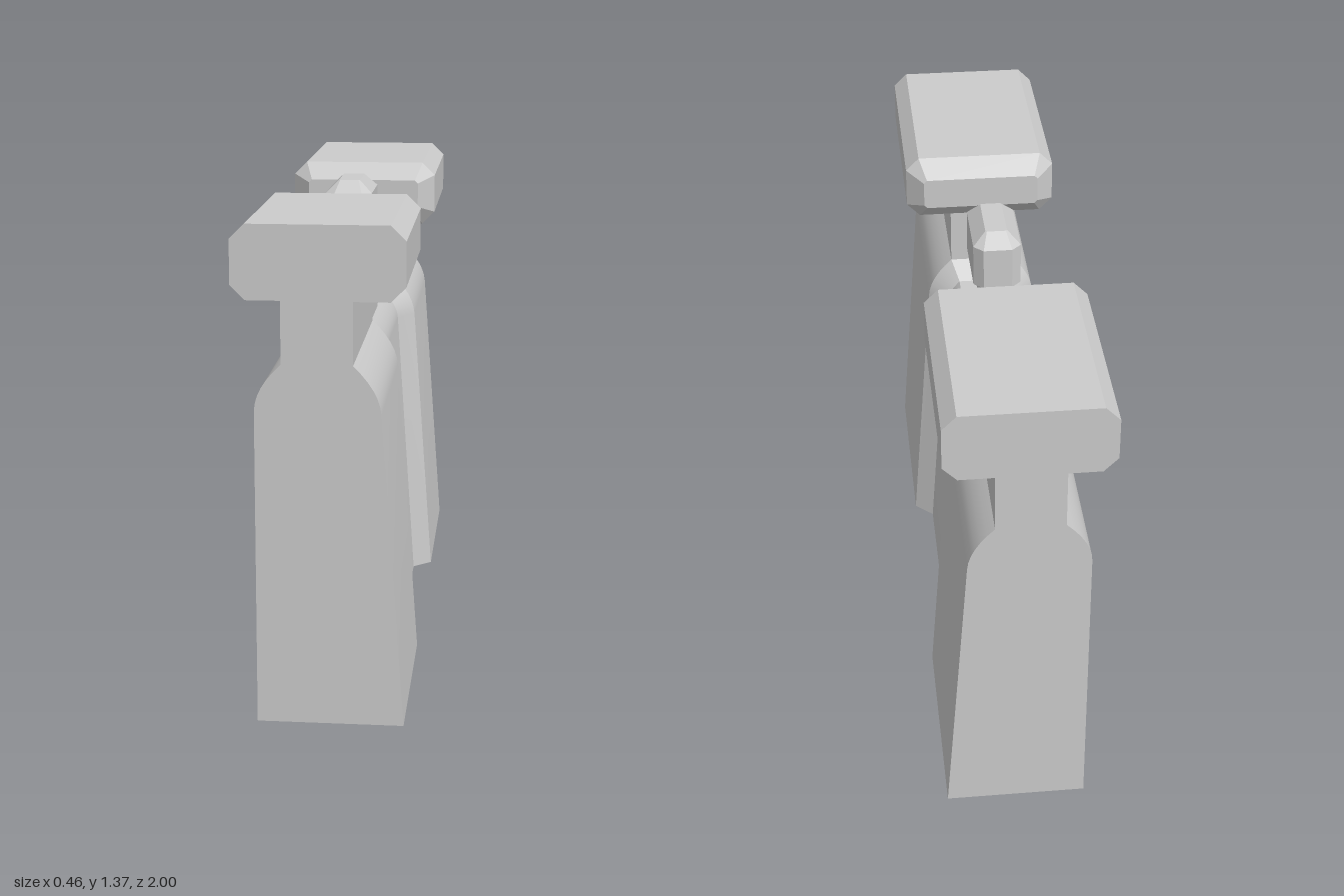
import * as THREE from 'three';
import { toCreasedNormals } from 'three/addons/utils/BufferGeometryUtils.js';

const material = new THREE.MeshStandardMaterial({ color: 0xcccccc });
const INNER = 0.338, OUTER = 0.39, BEVEL = OUTER - INNER;

// Skin through counter-clockwise convex rings [[x, y], ...] stacked along z
function loft(rings, heights, capped) {
  const pos = [];
  const put = (i, j) => {
    const r = rings[i], p = r[j % r.length];
    pos.push(p[0], p[1], heights[i]);
  };
  const n = rings[0].length, last = rings.length - 1;
  for (let i = 0; i < last; i++) {
    for (let j = 0; j < n; j++) {
      put(i, j); put(i, j + 1); put(i + 1, j + 1);
      put(i, j); put(i + 1, j + 1); put(i + 1, j);
    }
  }
  if (capped) {
    for (let j = 1; j < n - 1; j++) {
      put(0, 0); put(0, j + 1); put(0, j);
      put(last, 0); put(last, j); put(last, j + 1);
    }
  }
  const geo = new THREE.BufferGeometry();
  geo.setAttribute('position', new THREE.Float32BufferAttribute(pos, 3));
  return geo;
}

// Mitred inward offset of a counter-clockwise outline
function inset(ring, d) {
  const normal = (a, b) => new THREE.Vector2(a[1] - b[1], b[0] - a[0]).normalize();
  return ring.map((p, i) => {
    const n1 = normal(ring.at(i - 1), p);
    const n2 = normal(p, ring[(i + 1) % ring.length]);
    const k = d / (1 + n1.dot(n2));
    return [p[0] + (n1.x + n2.x) * k, p[1] + (n1.y + n2.y) * k];
  });
}

// Rectangle with cut corners, centred on (cx, cy)
function octagon(hx, hy, c, cx = 0, cy = 0) {
  return [[hx - c, -hy], [hx, c - hy], [hx, hy - c], [hx - c, hy],
    [c - hx, hy], [-hx, hy - c], [-hx, c - hy], [c - hx, -hy]]
    .map(([x, y]) => [x + cx, y + cy]);
}

function curve(a, b, c) {
  const v = (p) => new THREE.Vector2(...p);
  return new THREE.QuadraticBezierCurve(v(a), v(b), v(c)).getPoints(6).map((p) => [p.x, p.y]);
}

function add(group, name, geo) {
  const flat = geo.index ? geo.toNonIndexed() : geo;
  const mesh = new THREE.Mesh(toCreasedNormals(flat, 0.4), material);
  mesh.name = name;
  group.add(mesh);
  return mesh;
}

export function createModel() {
  const model = new THREE.Group();
  model.name = 'model';

  // Outlines: tapered body with rounded shoulders, and the chamfered head
  const rightShoulder = curve([0.167, 0.87], [0.162, 0.935], [0.092, 1.0]);
  const leftShoulder = curve([-0.098, 1.0], [-0.17, 0.935], [-0.17, 0.87]);
  const body = [[-0.17, 0], [0.23, 0], ...rightShoulder, ...leftShoulder];
  const head = octagon(0.23, 0.1, 0.04, 0, 1.27);

  // End blocks: body, neck and head as one section
  const section = [
    [-0.17, 0], [0.23, 0], ...rightShoulder,
    [0.092, 1.17], ...head.slice(0, 7), head[7], [-0.098, 1.17], ...leftShoulder,
  ];
  const shape = new THREE.Shape(section.map(([x, y]) => new THREE.Vector2(x, y)));
  for (const [name, z] of [['frontBlock', OUTER], ['backBlock', -1]]) {
    const geo = new THREE.ExtrudeGeometry(shape, { depth: 1 - OUTER, bevelEnabled: false });
    add(model, name, geo.translate(0, 0, z));
  }

  // Bevelled inner ends of the heads
  const tip = inset(head, BEVEL);
  add(model, 'frontHeadBevel', loft([tip, head], [INNER, OUTER], true));
  add(model, 'backHeadBevel', loft([head, tip], [-OUTER, -INNER], true));

  // Lower middle body, bevelled out to the end blocks; its base stays on the ground
  const waist = inset(body, BEVEL);
  waist[0][1] = waist[1][1] = 0;
  add(model, 'middleBody',
    loft([body, waist, waist, body], [-OUTER, -INNER, INNER, OUTER], false));

  // Small central post: chamfered foot, narrow neck, chamfered head
  const post = new THREE.Group();
  post.name = 'centrePost';
  post.position.x = -0.005;
  post.rotation.x = -Math.PI / 2;
  model.add(post);
  const rect = (hx, hz) => [[hx, -hz], [hx, hz], [-hx, hz], [-hx, -hz]];
  add(post, 'postFoot', loft(
    [rect(0.072, 0.108), rect(0.072, 0.108), rect(0.043, 0.08), rect(0.043, 0.08)],
    [0.94, 1.035, 1.068, 1.18], true));
  const wide = octagon(0.07, 0.132, 0.028), narrow = octagon(0.032, 0.083, 0.004);
  add(post, 'postHead', loft([narrow, wide, wide, narrow], [1.17, 1.207, 1.333, 1.37], true));

  return model;
}
